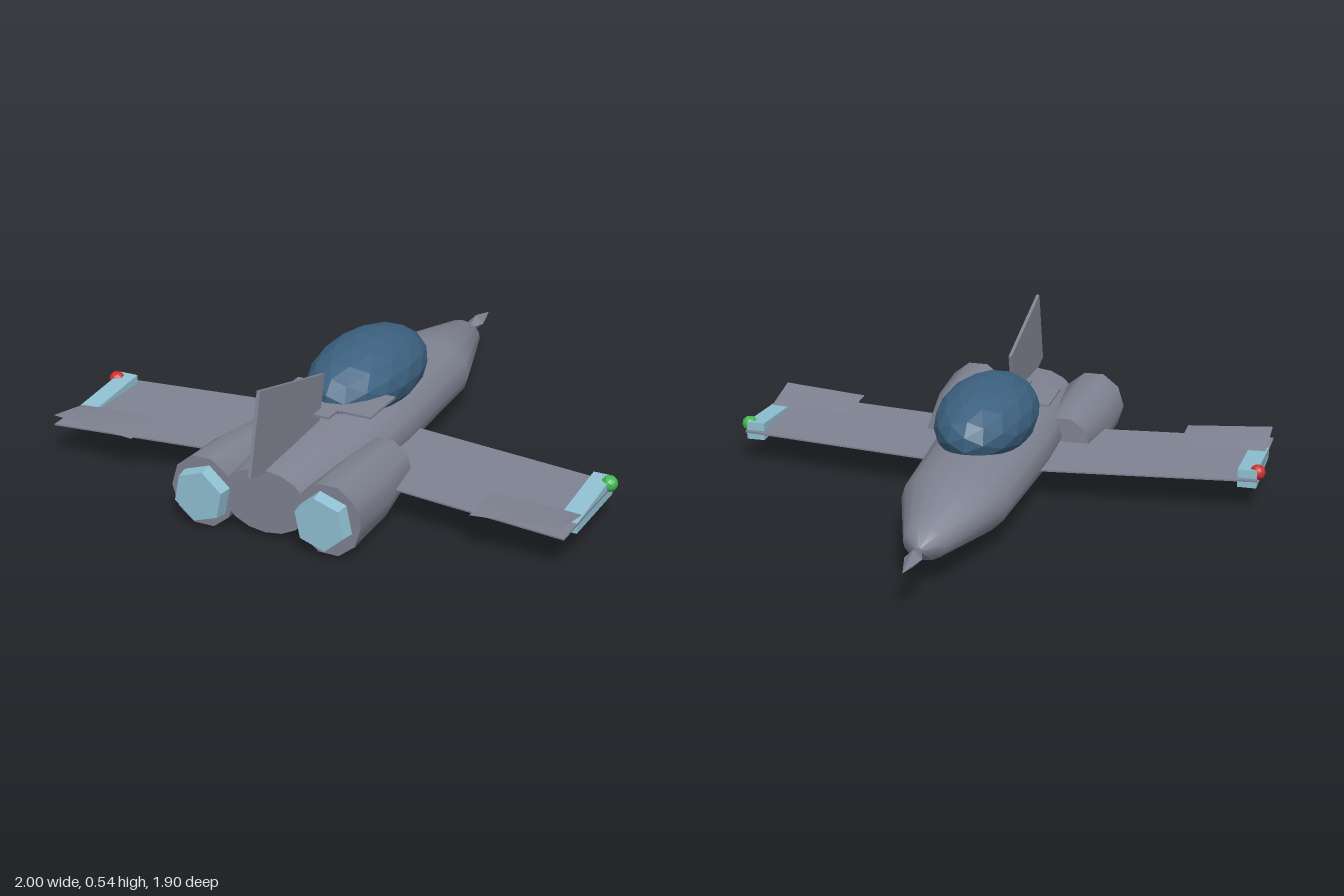
import * as THREE from 'three';
import { toCreasedNormals } from 'three/addons/utils/BufferGeometryUtils.js';

const mat = (name, color, extra = {}) => new THREE.MeshStandardMaterial({ name, color, ...extra });

// Closed loft along z through elliptical sections [z, centreX, halfWidth, bottomY, topY]
function loft(sections, sides) {
  const pos = [], idx = [];
  for (const [z, cx, w, yb, yt] of sections) {
    for (let i = 0; i < sides; i++) {
      const a = (i / sides) * Math.PI * 2;
      pos.push(cx + w * Math.cos(a), (yb + yt) / 2 + ((yt - yb) / 2) * Math.sin(a), z);
    }
  }
  const last = sections.length - 1;
  for (let s = 0; s < last; s++) {
    for (let i = 0; i < sides; i++) {
      const a = s * sides + i, b = s * sides + ((i + 1) % sides);
      idx.push(a, b, b + sides, a, b + sides, a + sides);
    }
  }
  // end caps
  for (let i = 1; i < sides - 1; i++) {
    idx.push(0, i + 1, i);
    idx.push(last * sides, last * sides + i, last * sides + i + 1);
  }
  const g = new THREE.BufferGeometry();
  g.setAttribute('position', new THREE.Float32BufferAttribute(pos, 3));
  g.setIndex(idx);
  return toCreasedNormals(g, 0.85);
}

// Single flat panel from four corners
function panel(corners) {
  const g = new THREE.BufferGeometry();
  g.setAttribute('position', new THREE.Float32BufferAttribute(corners.flat(), 3));
  g.setIndex([0, 1, 2, 0, 2, 3]);
  g.computeVertexNormals();
  return g;
}

const shapeOf = (pts) => new THREE.Shape(pts.map(([x, y]) => new THREE.Vector2(x, y)));

// Side profile in [z, y], extruded across x and centred on x = cx
function sidePlate(pts, width, cx) {
  const g = new THREE.ExtrudeGeometry(shapeOf(pts.map(([z, y]) => [-z, y])), { depth: width, bevelEnabled: false });
  return g.rotateY(Math.PI / 2).translate(cx - width / 2, 0, 0);
}

// Plan outline in [x, z], extruded upwards from y
function planPlate(pts, y, thickness) {
  const g = new THREE.ExtrudeGeometry(shapeOf(pts.map(([x, z]) => [x, -z])), { depth: thickness, bevelEnabled: false });
  return g.rotateX(-Math.PI / 2).translate(0, y, 0);
}

export function createModel() {
  const model = new THREE.Group();
  model.name = 'spacecraft';

  const hull = mat('hull grey', 0x7f8291);
  const sheet = mat('panel grey', 0x7f8291, { side: THREE.DoubleSide });
  const glass = mat('canopy blue', 0x3c6180, { flatShading: true });
  const pale = mat('pale blue', 0x8fc0d2, { flatShading: true });
  const red = mat('red light', 0xc83232, { flatShading: true });
  const green = mat('green light', 0x3fb84f, { flatShading: true });

  const add = (name, geometry, material) => {
    const mesh = new THREE.Mesh(geometry, material);
    mesh.name = name;
    model.add(mesh);
    return mesh;
  };

  // Fuselage, nose towards -z
  add('fuselage', loft([
    [-0.76, 0, 0.01, 0.15, 0.17],
    [-0.70, 0, 0.075, 0.10, 0.22],
    [-0.34, 0, 0.19, 0.037, 0.285],
    [0.2, 0, 0.215, 0.022, 0.295],
    [0.45, 0, 0.21, 0.03, 0.285],
    [0.855, 0, 0.16, 0.03, 0.258],
  ], 16), hull);

  // Diamond-shaped nose probe
  add('noseProbe', toCreasedNormals(loft([
    [-0.95, 0, 0.001, 0.162, 0.164],
    [-0.83, 0, 0.031, 0.132, 0.194],
    [-0.755, 0, 0.004, 0.158, 0.166],
  ], 4), 0.1), hull);

  // Faceted canopy
  const canopy = add('canopy', new THREE.IcosahedronGeometry(1, 2), glass);
  canopy.scale.set(0.18, 0.14, 0.322);
  canopy.position.set(0, 0.322, 0.107);

  // Swept-back tail fin
  add('tailFin', sidePlate([[0.95, 0.27], [0.878, 0.55], [0.44, 0.44], [0.51, 0.165]], 0.012, 0), hull);

  // Small T-shaped plate behind the canopy
  add('tailPlate', planPlate([
    [-0.19, 0.27], [-0.19, 0.46], [-0.065, 0.46], [-0.065, 0.525],
    [0.065, 0.525], [0.065, 0.46], [0.19, 0.46], [0.19, 0.27],
  ], 0.316, 0.008), hull);

  for (const s of [-1, 1]) {
    const side = s > 0 ? 'left' : 'right';

    // Engine nacelle and its glowing nozzle
    add(side + 'Nacelle', loft([
      [0.4, s * 0.215, 0.1, 0.03, 0.23],
      [0.62, s * 0.23, 0.12, 0.008, 0.25],
      [0.855, s * 0.235, 0.12, 0, 0.26],
    ], 10), hull);
    const nozzle = new THREE.CylinderGeometry(0.094, 0.108, 0.1, 6);
    nozzle.rotateX(Math.PI / 2).rotateZ(s * 0.2);
    add(side + 'Nozzle', nozzle, pale).position.set(s * 0.227, 0.131, 0.853);

    // Wing
    add(side + 'Wing', planPlate([
      [s * 0.1, 0.085], [s * 0.972, 0.195], [s * 0.972, 0.645], [s * 0.1, 0.54],
    ], 0.13, 0.006), hull);

    // Raised, twisted aileron
    add(side + 'Aileron', panel([
      [s * 0.645, 0.15, 0.467], [s * 0.645, 0.15, 0.655],
      [s * 0.966, 0.175, 0.655], [s * 0.966, 0.141, 0.467],
    ]), sheet);

    // Wedge-shaped wingtip pod
    add(side + 'WingtipPod', sidePlate([
      [0.21, 0.1], [0.21, 0.168], [0.53, 0.138], [0.53, 0.1],
    ].reverse(), 0.07, s * 0.936), pale);

    // Navigation light
    add(side + 'NavigationLight', new THREE.IcosahedronGeometry(0.029, 1), s > 0 ? green : red)
      .position.set(s * 0.97, 0.152, 0.24);
  }
  return model;
}
